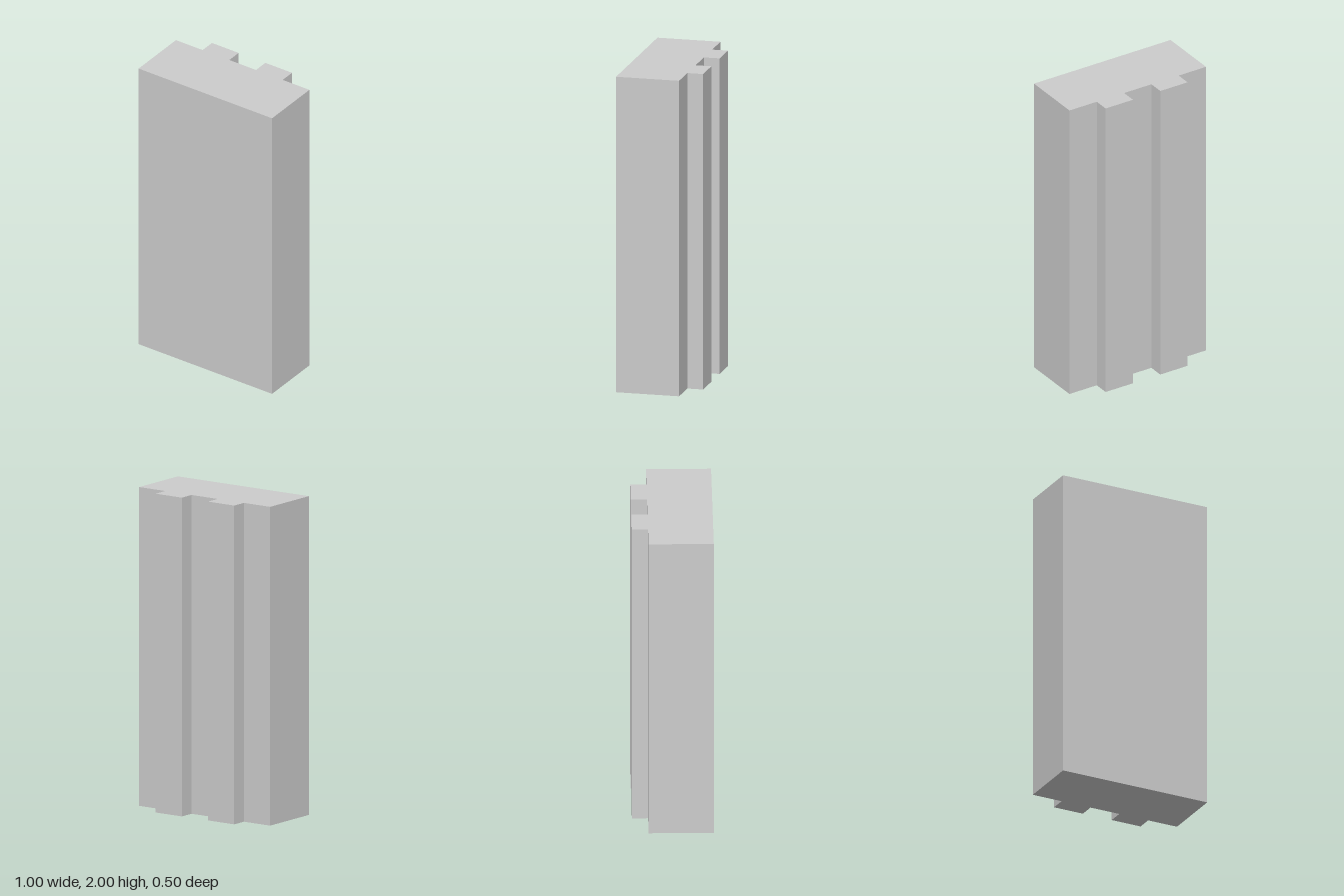
import * as THREE from 'three';

export function createModel() {
  const group = new THREE.Group();
  const height = 2;

  // Plan outline: straight front, two ribs along the back (shape y = -z)
  const outline = [
    [-0.5, -0.25], [0.5, -0.25], [0.5, 0.15],
    [0.3, 0.15], [0.3, 0.25], [0.1, 0.25], [0.1, 0.15],
    [-0.1, 0.15], [-0.1, 0.25], [-0.3, 0.25], [-0.3, 0.15],
    [-0.5, 0.15],
  ].map(([x, y]) => new THREE.Vector2(x, y));

  // Extrude the plan and stand it upright on y = 0
  const geometry = new THREE.ExtrudeGeometry(new THREE.Shape(outline), {
    depth: height,
    bevelEnabled: false,
  });
  geometry.rotateX(-Math.PI / 2);

  const block = new THREE.Mesh(
    geometry,
    new THREE.MeshStandardMaterial({ color: 0xcccccc })
  );
  block.name = 'ribbedBlock';
  group.add(block);
  return group;
}
